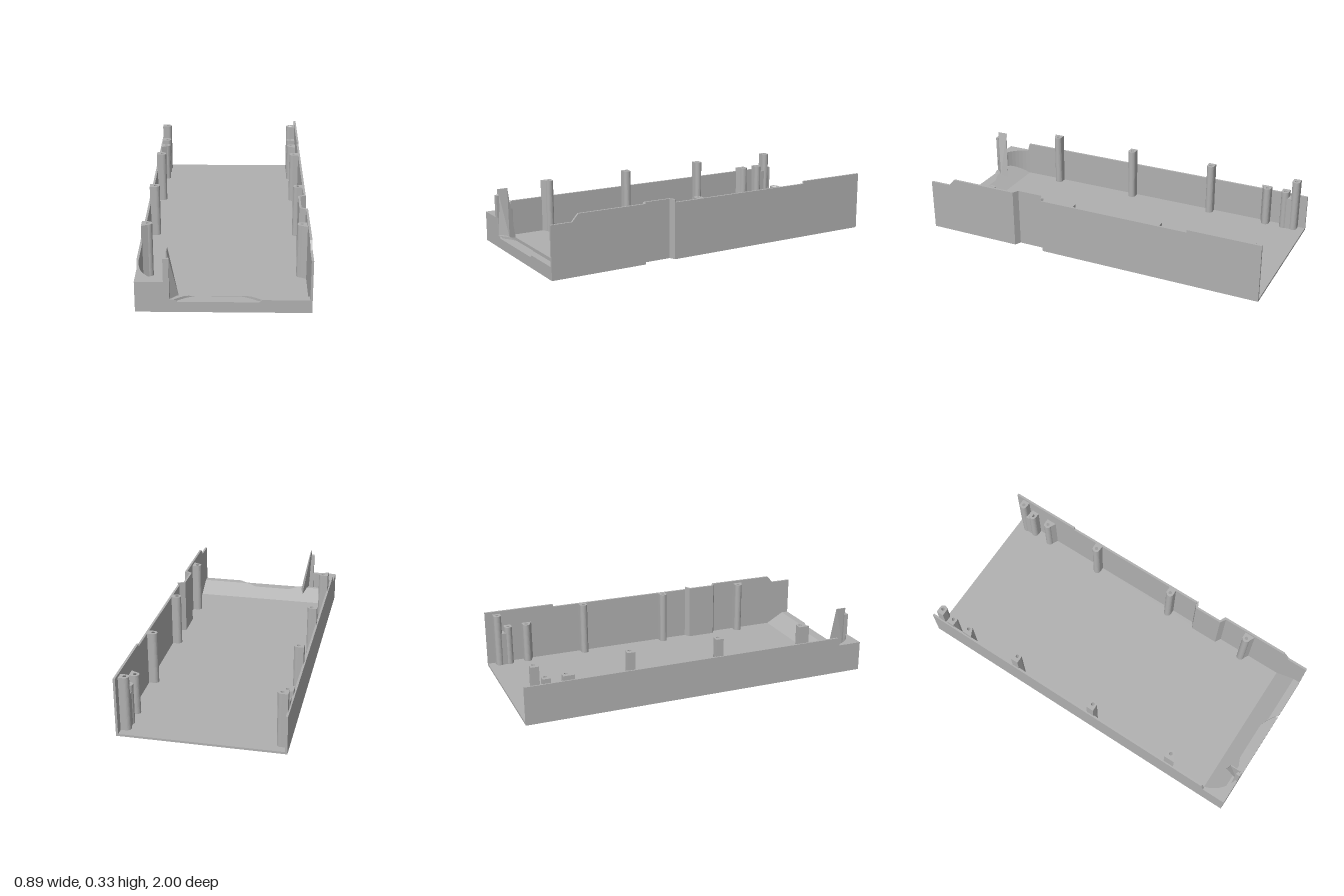
import * as THREE from 'three';
import { ConvexGeometry } from 'three/addons/geometries/ConvexGeometry.js';

const FLOOR = 0.012, X = 0.444, WALL = 0.012;

export function createModel() {
  const model = new THREE.Group();
  const grey = new THREE.MeshStandardMaterial({ color: 0xb0b0b0 });
  const greySheet = new THREE.MeshStandardMaterial({ color: 0xb0b0b0, side: THREE.DoubleSide });
  grey.name = 'grey plastic';
  greySheet.name = 'grey plastic sheet';

  const add = (name, geometry, material = grey) => {
    const mesh = new THREE.Mesh(geometry, material);
    mesh.name = name;
    model.add(mesh);
    return mesh;
  };
  const vecs = (points, sx = 1, sy = 1) => points.map(([a, b]) => new THREE.Vector2(a * sx, b * sy));

  // Plan outline [x, z] raised from y0 to y1, with optional holes
  const raise = (points, y0, y1, holes = []) => {
    const shape = new THREE.Shape(vecs(points, 1, -1));
    for (const h of holes) shape.holes.push(new THREE.Path(vecs(h, 1, -1)));
    const g = new THREE.ExtrudeGeometry(shape, { depth: y1 - y0, bevelEnabled: false });
    return g.rotateX(-Math.PI / 2).translate(0, y0, 0);
  };
  // Side outline [z, y] given a thickness along x
  const slab = (points, x0, x1) => {
    const g = new THREE.ExtrudeGeometry(new THREE.Shape(vecs(points, -1, 1)), { depth: x1 - x0, bevelEnabled: false });
    return g.rotateY(Math.PI / 2).translate(x0, 0, 0);
  };
  const arc = (cx, cz, r, a0, a1, n) => Array.from({ length: n + 1 }, (_, i) => {
    const a = a0 + (a1 - a0) * i / n;
    return [cx + r * Math.cos(a), cz + r * Math.sin(a)];
  });

  // Floor, notched on its left side, with a crescent pocket below the front lip
  const notch = [[X, 0.275], [0.41, 0.29], [0.41, 0.438], [X, 0.455]];
  const crescent = [];
  for (let i = 0; i <= 12; i++) {
    const t = i / 12;
    crescent.push([-0.205 + 0.355 * t, 0.95 - 0.05 * Math.sin(Math.PI * t)]);
  }
  add('floor', raise([[-X, -1], [X, -1], ...notch, [X, 0.998], [-X, 0.998]], 0, FLOOR, [crescent]));
  const back = add('pocketWall', new THREE.BoxGeometry(0.4, 0.05, 0.01));
  back.position.set(-0.027, 0.026, 0.956);

  // Tall left wall in two straight pieces joined by the notch
  add('leftWallRear', slab([[-1, 0], [0.275, 0], [0.275, 0.315], [-0.59, 0.315], [-0.59, 0.33], [-1, 0.33]], X - WALL, X));
  add('leftWallFront', slab([[0.455, 0], [1, 0], [1, 0.29], [0.88, 0.29], [0.845, 0.33], [0.455, 0.33]], X - WALL, X));
  const inner = [[X - WALL, 0.465], [0.398, 0.445], [0.398, 0.283], [X - WALL, 0.265]];
  add('leftWallNotch', raise([...notch, ...inner], 0, 0.33));

  // Low right wall and the raised front corner with its curved inside
  add('rightWall', slab([[-1, 0], [1, 0], [1, 0.168], [0.865, 0.168], [0.85, 0.215], [-1, 0.215]], -X, -X + WALL));
  const curve = arc(-0.25, 0.81, 0.185, Math.PI, Math.PI * 0.53, 12);
  add('frontCorner', raise([[-X, 0.81], ...curve, [-0.27, 1], [-X, 1]], 0, 0.169));

  // Front lip: sloping ramp with a shallow thumb scoop cut into its top
  const scoopEdge = (x) => {
    const t = x < -0.14 ? (-0.14 - x) / 0.11 : x > 0.08 ? (x - 0.08) / 0.115 : 0;
    return Math.min(1, 0.94 + 0.06 * Math.pow(Math.max(0, t), 1.4));
  };
  const rampY = (z) => Math.min(0.071, FLOOR + (0.071 - FLOOR) * (z - 0.855) / 0.105);
  const xs = [-X + 0.001];
  for (let x = -0.25; x < 0.196; x += 0.0178) xs.push(x);
  xs.push(0.196, X - 0.001);
  const section = (x) => {
    const e = scoopEdge(x);
    const m = Math.min(e, 0.96);
    const low = e < 0.999 ? 0.058 : 0.071;
    return [[0.855, FLOOR], [m, rampY(m)], [e, rampY(e)], [e, low], [1, low], [1, 0]]
      .map(([z, y]) => [x, y, z]);
  };
  const lip = [];
  for (let i = 0; i < xs.length - 1; i++) {
    const a = section(xs[i]), b = section(xs[i + 1]);
    for (let j = 0; j < a.length - 1; j++) {
      lip.push(...a[j], ...a[j + 1], ...b[j + 1], ...a[j], ...b[j + 1], ...b[j]);
    }
  }
  const lipGeometry = new THREE.BufferGeometry();
  lipGeometry.setAttribute('position', new THREE.Float32BufferAttribute(lip, 3));
  lipGeometry.computeVertexNormals();
  add('frontLip', lipGeometry, greySheet);

  // Upright and leaning fin beside the front corner
  add('upright', raise([[-0.3, 0.975], [-0.27, 0.985], [-0.27, 1], [-0.3, 1]], 0, 0.295));
  add('leaningFin', new ConvexGeometry([
    [-0.285, 0.33, 0.93], [-0.28, 0.33, 0.93], [-0.285, 0.33, 0.988], [-0.28, 0.33, 0.988],
    [-0.24, 0.05, 0.908], [-0.225, 0.06, 0.95], [-0.27, 0.06, 0.998],
  ].map((p) => new THREE.Vector3(...p))));

  // Screw posts along both walls: [z, height, flare]
  const posts = [[-0.935, 0.315, 0], [-0.875, 0.24, 0], [-0.765, 0.24, 0.018],
    [-0.41, 0.315, 0], [0.105, 0.315, 0], [0.62, 0.315, 0.018]];
  for (const s of [-1, 1]) {
    const side = s > 0 ? 'left' : 'right';
    for (const [z, h, flare] of posts) {
      const nose = arc(0.402, z, 0.022, Math.PI / 2, Math.PI * 1.5, 12);
      const outline = [[0.436, z - 0.022], [0.436, z + 0.022 + flare], ...nose].map(([x, w]) => [s * x, w]);
      const hole = arc(s * 0.404, z, 0.01, 0, Math.PI * 2, 12).slice(0, -1);
      add(side + 'ScrewPost', raise(outline, 0.005, h, [hole]));
    }
    // Web joining the two rear posts
    const web = add(side + 'PostWeb', new THREE.BoxGeometry(0.05, 0.2, 0.03));
    web.position.set(s * 0.411, 0.105, -0.905);
  }
  return model;
}
